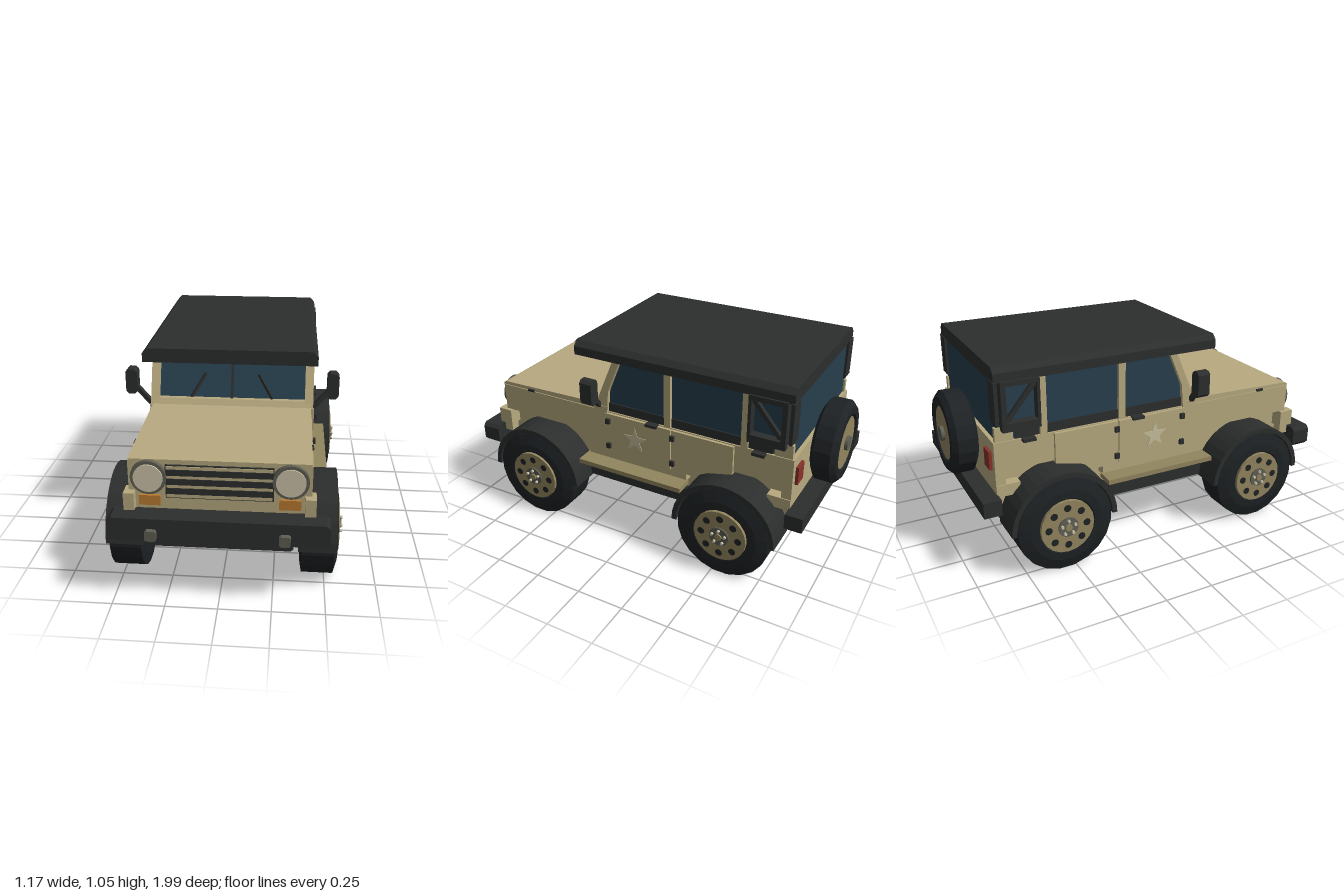
import * as THREE from 'three';

const mat = (color) => new THREE.MeshStandardMaterial({ color, flatShading: true });

export function createModel() {
  const root = new THREE.Group();
  const tan = mat(0xb8aa80), rimTan = mat(0x92865f), black = mat(0x2c2e2e), rubber = mat(0x1e2224),
    glass = mat(0x273f4d), metal = mat(0x5f5f54), red = mat(0x8a3329), orange = mat(0xbd7d31),
    lamp = mat(0xcfc5ac), pale = mat(0xc8bf9c);

  const add = (name, geo, m, parent = root) => {
    const mesh = new THREE.Mesh(geo, m);
    mesh.name = name;
    parent.add(mesh);
    return mesh;
  };
  // box from its minimum and maximum on each axis
  const box = (name, m, [x0, x1], [y0, y1], [z0, z1]) => {
    const g = new THREE.BoxGeometry(x1 - x0, y1 - y0, z1 - z0);
    g.translate((x0 + x1) / 2, (y0 + y1) / 2, (z0 + z1) / 2);
    return add(name, g, m);
  };
  const wide = (name, m, w, y, z) => box(name, m, [-w, w], y, z);
  const pair = (name, m, [a, b], y, z) => {
    box(name, m, [a, b], y, z);
    box(name, m, [-b, -a], y, z);
  };
  const poly = (pts) => new THREE.Shape(pts.map(([a, b]) => new THREE.Vector2(a, b)));
  // side profile (z, y) pushed across x0..x1
  const acrossX = (shape, x0, x1, curveSegments = 12) =>
    new THREE.ExtrudeGeometry(shape, { depth: x1 - x0, bevelEnabled: false, curveSegments })
      .rotateY(-Math.PI / 2).translate(x1, 0, 0);
  // front profile (x, y) pushed along z0..z1
  const alongZ = (shape, z0, z1) =>
    new THREE.ExtrudeGeometry(shape, { depth: z1 - z0, bevelEnabled: false }).translate(0, 0, z0);
  // rectangle with cut corners
  const cutRect = (cx, cy, w, h, c) => poly([
    [cx - w + c, cy - h], [cx + w - c, cy - h], [cx + w, cy - h + c], [cx + w, cy + h - c],
    [cx + w - c, cy + h], [cx - w + c, cy + h], [cx - w, cy + h - c], [cx - w, cy - h + c]]);
  // bar between two points
  const bar = (name, m, a, b, t) => {
    const p = new THREE.Vector3(...a), q = new THREE.Vector3(...b);
    const mesh = add(name, new THREE.BoxGeometry(t, t, p.distanceTo(q)), m);
    mesh.position.copy(p).lerp(q, 0.5);
    mesh.lookAt(q);
  };
  const discX = (r, x0, x1, y, z, n) =>
    new THREE.CylinderGeometry(r, r, x1 - x0, n).rotateZ(-Math.PI / 2).translate((x0 + x1) / 2, y, z);

  // chassis, axles and lower body
  wide('floor', black, 0.345, [0.25, 0.34], [-0.82, 0.84]);
  wide('innerBody', tan, 0.37, [0.34, 0.56], [-0.84, 0.84]);
  for (const z of [0.59, -0.55]) wide('axle', metal, 0.4, [0.215, 0.275], [z - 0.03, z + 0.03]);
  wide('lowerBody', tan, 0.42, [0.4, 0.56], [-0.29, 0.3]);
  pair('runningBoard', rimTan, [0.41, 0.51], [0.385, 0.41], [-0.3, 0.31]);
  pair('sideRail', black, [0.33, 0.4], [0.255, 0.34], [-0.34, 0.35]);
  wide('upperBody', tan, 0.42, [0.54, 0.69], [-0.85, 0.86]);
  wide('rearPanel', tan, 0.42, [0.41, 0.55], [-0.85, -0.8]);
  wide('frontPanel', tan, 0.41, [0.45, 0.56], [0.82, 0.86]);
  pair('frontCorner', tan, [0.39, 0.44], [0.41, 0.54], [0.82, 0.9]);
  pair('rearCorner', tan, [0.37, 0.425], [0.41, 0.47], [-0.85, -0.73]);

  // hood and cowl
  add('hood', acrossX(poly([[0.2, 0.68], [0.865, 0.68], [0.865, 0.7], [0.85, 0.708], [0.24, 0.722], [0.2, 0.722]]),
    -0.415, 0.415), tan);
  wide('cowl', tan, 0.43, [0.68, 0.72], [0.17, 0.25]);
  pair('hoodLatch', black, [0.41, 0.425], [0.688, 0.7], [0.65, 0.69]);

  // doors with hinges and handles
  pair('frontDoor', tan, [0.41, 0.435], [0.455, 0.685], [-0.205, 0.18]);
  for (const s of [-1, 1]) {
    const x = s * 0.4225;
    add('rearDoor', acrossX(poly([[-0.21, 0.455], [-0.21, 0.685], [-0.55, 0.685], [-0.55, 0.53], [-0.42, 0.5],
      [-0.33, 0.455]].reverse()), x - 0.0125, x + 0.0125), tan);
    // star painted on the front door
    const star = Array.from({ length: 10 }, (_, i) => {
      const r = i % 2 ? 0.028 : 0.07, a = Math.PI / 2 + (i * Math.PI) / 5;
      return [r * Math.cos(a), 0.57 + r * Math.sin(a)];
    });
    add('doorStar', acrossX(poly(star), s * 0.436 - 0.002, s * 0.436 + 0.002), pale);
  }
  for (const z of [0.16, -0.22])
    for (const y of [0.5, 0.645]) pair('hinge', black, [0.43, 0.45], [y - 0.014, y + 0.014], [z - 0.012, z + 0.012]);
  for (const z of [-0.1, -0.68]) pair('doorHandle', black, [0.415, 0.45], [0.677, 0.692], [z - 0.032, z + 0.032]);

  // cabin: glasshouse, pillars and roof
  add('windows', acrossX(poly([[0.225, 0.69], [0.095, 1], [-0.83, 1], [-0.83, 0.69]].reverse()), -0.405, 0.405), glass);
  pair('windowSill', black, [0.39, 0.412], [0.69, 0.738], [-0.74, 0.19]);
  for (const x of [-0.405, 0.405])
    add('windshieldPillar', acrossX(poly([[0.25, 0.7], [0.12, 1], [0.08, 1], [0.16, 0.81], [0.17, 0.7]]),
      x - 0.022, x + 0.022), tan);
  add('windshieldBase', acrossX(poly([[0.25, 0.71], [0.226, 0.752], [0.19, 0.752], [0.19, 0.71]]), -0.41, 0.41), tan);
  for (const z of [-0.183, -0.6]) pair('doorPillar', tan, [0.39, 0.425], [0.69, 1], [z - 0.018, z + 0.018]);
  pair('rearPillar', tan, [0.39, 0.415], [0.69, 0.76], [-0.84, -0.75]);
  add('roof', alongZ(poly([[-0.44, 0.985], [0.44, 0.985], [0.44, 1.03], [0.415, 1.057], [-0.415, 1.057], [-0.44, 1.03]]),
    -0.838, 0.345), black);

  // rear quarter windows: frame, diagonal brace, corner flaps
  for (const s of [-1, 1]) {
    const frame = poly([[-0.81, 0.745], [-0.62, 0.745], [-0.62, 0.99], [-0.81, 0.99]]);
    frame.holes.push(poly([[-0.785, 0.785], [-0.785, 0.965], [-0.635, 0.965], [-0.635, 0.785]]));
    add('quarterWindowFrame', acrossX(frame, s * 0.425 - 0.025, s * 0.425 + 0.025), black);
    bar('quarterWindowBrace', black, [s * 0.425, 0.96, -0.64], [s * 0.425, 0.79, -0.78], 0.022);
    box('cornerFlap', black, s > 0 ? [0.37, 0.45] : [-0.45, -0.37], [0.78, 0.99], [-0.842, -0.825]);
  }

  // wipers and windshield divider lie on the sloping glass
  const glassZ = (y) => 0.232 - (y - 0.69) * 0.42;
  const onGlass = (name, x0, y0, x1, y1) =>
    bar(name, black, [x0, y0, glassZ(y0)], [x1, y1, glassZ(y1)], 0.013);
  onGlass('windshieldDivider', 0, 0.75, 0, 0.92);
  for (const s of [-1, 1]) onGlass('wiper', s * 0.215, 0.752, s * 0.14, 0.87);

  // mirrors
  for (const s of [-1, 1]) {
    add('mirror', alongZ(cutRect(s * 0.525, 0.842, 0.03, 0.067, 0.015), 0.175, 0.242), black);
    bar('mirrorArm', black, [s * 0.425, 0.72, 0.22], [s * 0.51, 0.81, 0.205], 0.024);
  }

  // grille: outlined panel with three dark slots
  wide('grilleFrame', black, 0.247, [0.508, 0.675], [0.85, 0.868]);
  wide('grillePanel', tan, 0.242, [0.513, 0.67], [0.85, 0.872]);
  for (const y of [0.64, 0.594, 0.547]) wide('grilleSlot', black, 0.244, [y - 0.015, y + 0.015], [0.85, 0.876]);

  // lights
  for (const s of [-1, 1]) {
    const disc = (name, r, z, m) =>
      add(name, new THREE.CylinderGeometry(r, r, 0.04, 24).rotateX(Math.PI / 2).translate(s * 0.323, 0.615, z), m);
    disc('headlightRing', 0.083, 0.865, metal);
    disc('headlight', 0.068, 0.872, lamp);
  }
  pair('turnSignal', orange, [0.272, 0.372], [0.47, 0.52], [0.85, 0.874]);
  pair('tailLight', red, [0.308, 0.385], [0.54, 0.635], [-0.865, -0.84]);

  // bumpers
  add('frontBumper', alongZ(cutRect(0, 0.398, 0.505, 0.056, 0.018), 0.87, 0.975), black);
  add('frontSkidPlate', alongZ(cutRect(0, 0.295, 0.343, 0.045, 0.012), 0.8, 0.87), black);
  for (const s of [-1, 1]) add('towHook', alongZ(cutRect(s * 0.303, 0.377, 0.026, 0.026, 0.007), 0.96, 0.998), metal);
  wide('rearBumper', black, 0.48, [0.345, 0.425], [-0.935, -0.845]);

  // wheels with pierced-look rims, plus arched flares above them
  const tyreProfile = [[0, 0.376], [0.19, 0.376], [0.247, 0.386], [0.247, 0.538], [0.19, 0.556], [0.148, 0.558],
    [0.14, 0.546], [0, 0.546]].map(([r, x]) => new THREE.Vector2(r, x));
  for (const s of [1, -1])
    for (const z of [0.588, -0.55]) {
      const wheel = new THREE.Group();
      wheel.name = 'wheel';
      wheel.position.set(0, 0.246, z);
      wheel.rotation.y = s > 0 ? 0 : Math.PI;
      root.add(wheel);
      add('tyre', new THREE.LatheGeometry(tyreProfile, 20, Math.PI / 20).rotateZ(-Math.PI / 2), rubber, wheel);
      add('rim', discX(0.14, 0.53, 0.564, 0, 0, 20), rimTan, wheel);
      for (let i = 0; i < 8; i++) {
        const a = (i * Math.PI) / 4;
        add('rimHole', discX(0.019, 0.55, 0.566, 0.1 * Math.sin(a), 0.1 * Math.cos(a), 10), rubber, wheel);
      }
      add('hub', discX(0.052, 0.55, 0.572, 0, 0, 16), metal, wheel);
      add('hubCap', discX(0.018, 0.56, 0.58, 0, 0, 10), rimTan, wheel);
      for (let i = 0; i < 5; i++) {
        const a = Math.PI / 2 + (i * Math.PI * 2) / 5;
        add('wheelBolt', discX(0.008, 0.56, 0.584, 0.036 * Math.sin(a), 0.036 * Math.cos(a), 6), lamp, wheel);
      }
      const arch = new THREE.Shape();
      arch.absarc(z, 0.246, 0.277, 0, Math.PI, false);
      arch.absarc(z, 0.246, 0.252, Math.PI, 0, true);
      add('wheelFlare', s > 0 ? acrossX(arch, 0.365, 0.546, 9) : acrossX(arch, -0.546, -0.365, 9), black);
    }

  // spare wheel on the tailgate
  const spare = new THREE.Group();
  spare.name = 'spareWheel';
  spare.position.set(0, 0.607, 0);
  root.add(spare);
  const spareProfile = [[0, 0.85], [0.18, 0.85], [0.217, 0.872], [0.217, 0.96], [0.19, 0.985], [0.15, 0.985],
    [0.14, 0.97], [0, 0.97]].map(([r, d]) => new THREE.Vector2(r, d));
  add('spareTyre', new THREE.LatheGeometry(spareProfile, 20, Math.PI / 20).rotateX(-Math.PI / 2), rubber, spare);
  const spareDisc = (name, r, z, m) =>
    add(name, new THREE.CylinderGeometry(r, r, 0.03, 20).rotateX(Math.PI / 2).translate(0, 0, z), m, spare);
  spareDisc('spareRim', 0.138, -0.963, rimTan);
  spareDisc('spareHub', 0.038, -0.98, metal);
  return root;
}
